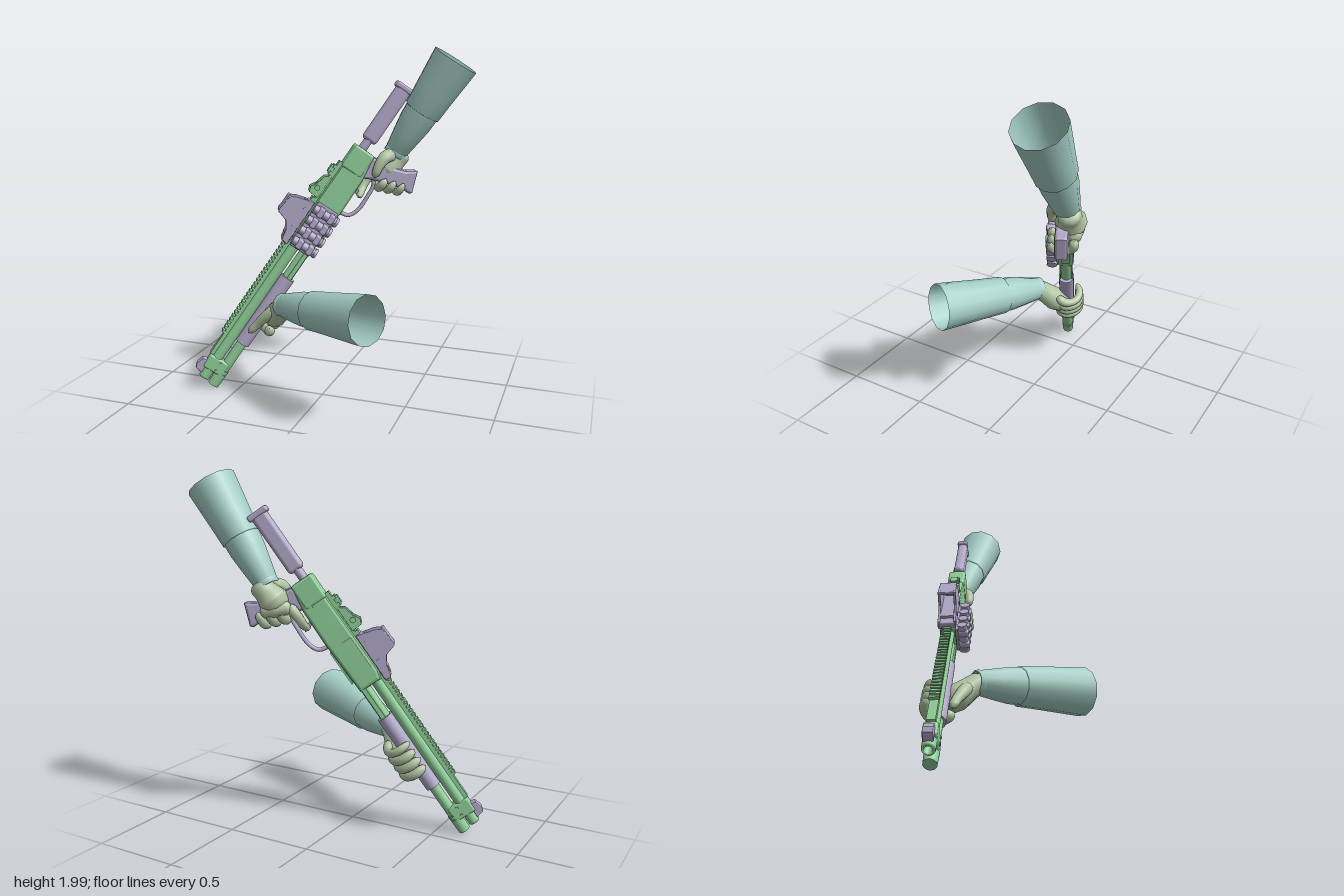
import * as THREE from 'three';
import { mergeVertices } from 'three/addons/utils/BufferGeometryUtils.js';
import { RoundedBoxGeometry } from 'three/addons/geometries/RoundedBoxGeometry.js';

const material = (name, color, side = THREE.FrontSide) => {
  const m = new THREE.MeshStandardMaterial({ color, side });
  m.name = name;
  return m;
};
const V = (x, y, z) => new THREE.Vector3(x, y, z);

export function createModel() {
  const green = material('metalGreen', 0x8fce98);
  const purple = material('fittingPurple', 0xb2a8c8);
  const cloth = material('sleeveTeal', 0xa5cfc7, THREE.DoubleSide);
  const glove = material('gloveSage', 0xb2c6a4);
  const model = new THREE.Group();
  model.name = 'armsHoldingShotgun';

  // Gun space: x runs back along the barrel, y is the gun's up, z its left side
  const gun = new THREE.Group();
  gun.name = 'shotgun';
  const back = V(0.509, 0.823, -0.25).normalize();
  const side = V(-back.z, 0, back.x).normalize();
  const up = side.clone().cross(back);
  gun.quaternion.setFromRotationMatrix(new THREE.Matrix4().makeBasis(back, up, side));
  gun.position.set(-0.7, 0.07, 0.145);
  model.add(gun);

  const add = (name, geo, mat, parent = gun) => {
    const mesh = new THREE.Mesh(geo, mat);
    mesh.name = name;
    parent.add(mesh);
    return mesh;
  };
  const box = (name, mat, x0, x1, y0, y1, z0, z1, r = 0) => {
    const s = [x1 - x0, y1 - y0, z1 - z0];
    const geo = r ? new RoundedBoxGeometry(...s, 2, r) : new THREE.BoxGeometry(...s);
    geo.translate((x0 + x1) / 2, (y0 + y1) / 2, (z0 + z1) / 2);
    return add(name, geo, mat);
  };
  const rod = (name, mat, x0, x1, y, r0, r1 = r0, z = 0) => {
    const geo = new THREE.CylinderGeometry(r1, r0, x1 - x0, 16).rotateZ(-Math.PI / 2);
    return add(name, geo.translate((x0 + x1) / 2, y, z), mat);
  };
  const crossPin = (name, mat, x, y, r, width) =>
    add(name, new THREE.CylinderGeometry(r, r, width, 12).rotateX(Math.PI / 2).translate(x, y, 0), mat);
  // Side profile extruded across the gun
  const slab = (name, mat, pts, width, bevel = 0.008, z = 0) => {
    const shape = new THREE.Shape(pts.map(([x, y]) => new THREE.Vector2(x, y)));
    const depth = width - 2 * bevel;
    const geo = new THREE.ExtrudeGeometry(shape, {
      depth, bevelEnabled: bevel > 0, bevelSize: bevel, bevelThickness: bevel, bevelOffset: -bevel, bevelSegments: 2,
    });
    return add(name, geo.translate(0, 0, z - depth / 2), mat);
  };
  // Rounded limb: a tube whose rings follow a list of radii
  const limb = (name, mat, pts, radii, parent = gun) => {
    const path = new THREE.CatmullRomCurve3(pts.map((p) => V(...p)));
    const n = 20, sides = 10;
    let geo = new THREE.TubeGeometry(path, n, 1, sides, false);
    const pos = geo.attributes.position, p = V(0, 0, 0);
    for (let i = 0; i <= n; i++) {
      const u = i / n, c = path.getPointAt(u);
      const f = u * (radii.length - 1), k = Math.min(Math.floor(f), radii.length - 2);
      const end = Math.max(0, 1 - Math.min(u, 1 - u) * 6);
      const r = THREE.MathUtils.lerp(radii[k], radii[k + 1], f - k) * Math.sqrt(Math.max(1 - end * end, 1e-4));
      for (let j = 0; j <= sides; j++) {
        const q = i * (sides + 1) + j;
        p.fromBufferAttribute(pos, q).sub(c).multiplyScalar(r).add(c);
        pos.setXYZ(q, p.x, p.y, p.z);
      }
    }
    geo.deleteAttribute('uv');
    geo.deleteAttribute('normal');
    geo = mergeVertices(geo, 1e-5);
    geo.computeVertexNormals();
    return add(name, geo, mat, parent);
  };

  // Barrel with a hollow muzzle, and the magazine tube below it
  const bore = [[0.02, 0.08], [0.02, 0], [0.032, 0], [0.034, 0.01], [0.034, 1.05]].map((p) => new THREE.Vector2(...p));
  const barrelMat = green.clone();
  barrelMat.side = THREE.DoubleSide;
  barrelMat.name = 'barrelGreen';
  add('barrel', new THREE.LatheGeometry(bore, 16).rotateZ(-Math.PI / 2), barrelMat);
  rod('boreEnd', green, 0.07, 0.08, 0, 0.02);
  rod('magazineTube', green, 0.05, 1.0, -0.075, 0.031);
  rod('magazineCap', green, -0.012, 0.075, -0.073, 0.034, 0.037);
  rod('magazineCapRing', green, 0.085, 0.1, -0.073, 0.037);
  box('barrelClamp', green, 0.06, 0.15, -0.085, 0.045, -0.036, 0.036, 0.012);
  for (const x of [0.08, 0.13]) crossPin('clampScrew', green, x, -0.035, 0.009, 0.084);

  // Front sight
  slab('frontSight', purple, [[0.02, 0.03], [0.03, 0.075], [0.055, 0.085], [0.1, 0.07], [0.11, 0.03]], 0.05, 0.005);

  // Ventilated rail
  box('railBase', green, 0.15, 1.0, 0.03, 0.052, -0.022, 0.022);
  for (let i = 0; i < 26; i++) {
    const x = 0.3 + i * 0.026;
    box('railTooth', green, x, x + 0.014, 0.05, 0.069, -0.026, 0.026);
  }

  // Sliding fore grip
  rod('foreGrip', purple, 0.3, 0.78, -0.077, 0.044, 0.046);
  for (let i = 0; i < 2; i++) box('actionBar', green, 0.75, 1.05, -0.095, -0.07, i ? 0.03 : -0.038, i ? 0.038 : -0.03);

  // Receiver
  slab('receiver', green, [[0.97, -0.105], [0.97, 0.03], [1.02, 0.045], [1.63, 0.038], [1.645, 0.02],
    [1.64, -0.09], [1.5, -0.112], [1.3, -0.116]], 0.092, 0.018);
  box('receiverRear', green, 1.5, 1.65, -0.09, 0.042, -0.05, 0.05, 0.014);
  box('ejectionPort', green, 1.05, 1.25, -0.03, 0.025, -0.05, -0.044);
  box('loadingPort', green, 1.03, 1.24, -0.122, -0.112, -0.025, 0.025);
  for (const [x, y] of [[1.36, -0.07], [1.5, -0.06]]) crossPin('receiverPin', green, x, y, 0.01, 0.1);

  // Rear sight and its mount
  box('topMount', green, 1.22, 1.52, 0.03, 0.062, -0.026, 0.026);
  for (let i = 0; i < 6; i++) box('mountTooth', green, 1.24 + i * 0.045, 1.262 + i * 0.045, 0.06, 0.076, -0.03, 0.03);
  for (const s of [-1, 1]) {
    slab('sightWing', green, [[1.27, 0.05], [1.275, 0.11], [1.305, 0.122], [1.34, 0.1], [1.4, 0.085], [1.42, 0.05]], 0.014, 0.003, s * 0.028);
    crossPin('sightKnob', green, 1.32, 0.085, 0.016, 0.09);
  }
  box('rearAperture', green, 1.31, 1.35, 0.06, 0.1, -0.022, 0.022);
  box('rearLatch', green, 1.43, 1.48, 0.06, 0.088, -0.02, 0.02);

  // Open hooded sight: base, two curved cheeks and a roof
  box('hoodBase', purple, 0.95, 1.24, 0.045, 0.085, -0.042, 0.042, 0.008);
  const cheek = [[0.95, 0.05], [0.96, 0.088], [1.02, 0.1], [1.065, 0.13], [1.085, 0.195],
    [1.1, 0.2], [1.195, 0.188], [1.215, 0.15], [1.24, 0.05]];
  for (const s of [-1, 1]) slab('hoodCheek', purple, cheek, 0.014, 0.004, s * 0.042);
  box('hoodRoof', purple, 1.085, 1.2, 0.18, 0.197, -0.046, 0.046, 0.005);
  box('hoodBody', purple, 1.0, 1.23, 0.08, 0.1, -0.036, 0.036);
  for (const x of [1.06, 1.18]) crossPin('hoodScrew', purple, x, 0.075, 0.012, 0.106);

  // Spare shells in a carrier on the left side
  box('carrierPlate', purple, 0.96, 1.26, -0.1, 0.035, 0.04, 0.056, 0.005);
  for (let i = 0; i < 4; i++) {
    const x = 1.0 + i * 0.072;
    const shell = new THREE.CylinderGeometry(0.026, 0.026, 0.155, 12);
    add('spareShell', shell.translate(x, -0.035, 0.078), purple);
    add('shellRim', new THREE.CylinderGeometry(0.03, 0.03, 0.016, 12).translate(x, -0.112, 0.078), purple);
    for (const y of [-0.075, -0.005]) box('shellLoop', purple, x - 0.031, x + 0.031, y - 0.018, y + 0.018, 0.05, 0.11, 0.012);
  }

  // Trigger, guard and pistol grip
  const guard = new THREE.CatmullRomCurve3([[1.27, -0.11], [1.285, -0.165], [1.335, -0.192], [1.43, -0.195],
    [1.51, -0.185], [1.55, -0.15]].map(([x, y]) => V(x, y, 0)));
  add('triggerGuard', new THREE.TubeGeometry(guard, 24, 0.012, 8).scale(1, 1, 1.4), purple);
  slab('trigger', purple, [[1.43, -0.1], [1.405, -0.14], [1.405, -0.17], [1.42, -0.165], [1.45, -0.1]], 0.016, 0.003);
  slab('pistolGrip', purple, [[1.5, -0.09], [1.53, -0.15], [1.56, -0.24], [1.585, -0.32], [1.585, -0.385], [1.6, -0.398],
    [1.72, -0.352], [1.718, -0.335], [1.685, -0.29], [1.66, -0.22], [1.655, -0.15], [1.645, -0.08]], 0.07, 0.016);

  // Stock
  rod('stockShaft', purple, 1.62, 1.75, -0.01, 0.026);
  box('stockBody', purple, 1.7, 2.07, -0.06, 0.034, -0.03, 0.03, 0.024);
  box('stockButt', purple, 2.045, 2.08, -0.075, 0.047, -0.032, 0.032, 0.012);

  // Left hand wrapped around the fore grip
  limb('leftPalm', glove, [[0.7, -0.12, 0.2], [0.64, -0.12, 0.14], [0.58, -0.13, 0.08], [0.51, -0.145, 0.0]], [0.056, 0.06, 0.072, 0.05]);
  limb('leftThumb', glove, [[0.62, -0.1, 0.13], [0.53, -0.08, 0.1], [0.46, -0.07, 0.078], [0.39, -0.06, 0.066]], [0.035, 0.034, 0.027, 0.022]);
  for (let i = 0; i < 4; i++) {
    const x = 0.435 + i * 0.053, r = i === 3 ? 0.023 : 0.027;
    limb('leftFinger', glove, [[x + 0.04, -0.15, 0.06], [x + 0.01, -0.172, 0.0], [x, -0.145, -0.062],
      [x, -0.085, -0.078], [x + 0.005, -0.035, -0.058]], [r + 0.006, r + 0.004, r, r, r - 0.005]);
  }

  // Right hand on the pistol grip, index finger at the trigger
  limb('rightPalm', glove, [[1.78, -0.225, -0.035], [1.72, -0.215, -0.035], [1.65, -0.205, -0.04], [1.57, -0.2, -0.055]], [0.06, 0.065, 0.085, 0.055]);
  limb('rightKnuckles', glove, [[1.56, -0.14, -0.06], [1.6, -0.22, -0.066], [1.63, -0.3, -0.055]], [0.035, 0.045, 0.035]);
  limb('rightThumb', glove, [[1.72, -0.18, -0.01], [1.68, -0.14, 0.04], [1.62, -0.135, 0.058], [1.55, -0.15, 0.058]], [0.042, 0.038, 0.028, 0.022]);
  limb('rightIndexFinger', glove, [[1.58, -0.15, -0.06], [1.5, -0.145, -0.055], [1.44, -0.15, -0.025], [1.41, -0.15, 0.03]], [0.032, 0.028, 0.024, 0.02]);
  for (let i = 0; i < 3; i++) {
    const y = -0.205 - i * 0.052, x = 1.605 + i * 0.018, r = 0.027 - i * 0.002;
    limb('rightFinger', glove, [[x, y, -0.065], [x - 0.065, y - 0.01, -0.05], [x - 0.088, y - 0.01, 0.0],
      [x - 0.07, y - 0.01, 0.05], [x - 0.02, y - 0.008, 0.058]], [r + 0.004, r + 0.003, r, r, r - 0.005]);
  }

  // Sleeves: a narrow cuff section and a wider, open upper section
  const sleeve = (name, wrist, end, split) => {
    const arm = new THREE.Group();
    arm.name = name;
    const axis = end.clone().sub(wrist), L = axis.length();
    arm.position.copy(wrist);
    arm.quaternion.setFromUnitVectors(V(0, 1, 0), axis.normalize());
    model.add(arm);
    const m = split * L;
    const lathe = (part, pts) => add(part,
      new THREE.LatheGeometry(pts.map((p) => new THREE.Vector2(...p)), 12), cloth, arm);
    lathe('cuff', [[0.058, -0.02], [0.067, -0.018], [0.067, 0.012], [0.06, 0.016]]);
    lathe('lowerSleeve', [[0.058, 0.005], [0.068, 0.01], [0.084, m * 0.4], [0.098, m * 0.75], [0.102, m + 0.01]]);
    lathe('upperSleeve', [[0.1, m - 0.004], [0.109, m], [0.118, m + (L - m) * 0.35], [0.13, m + (L - m) * 0.75], [0.137, L]]);
  };
  sleeve('rightArm', V(0.315, 1.4, -0.38), V(0.64, 1.92, -0.41), 0.45);
  sleeve('leftArm', V(-0.2, 0.555, 0.095), V(0.39, 0.632, 0.4), 0.37);
  return model;
}
